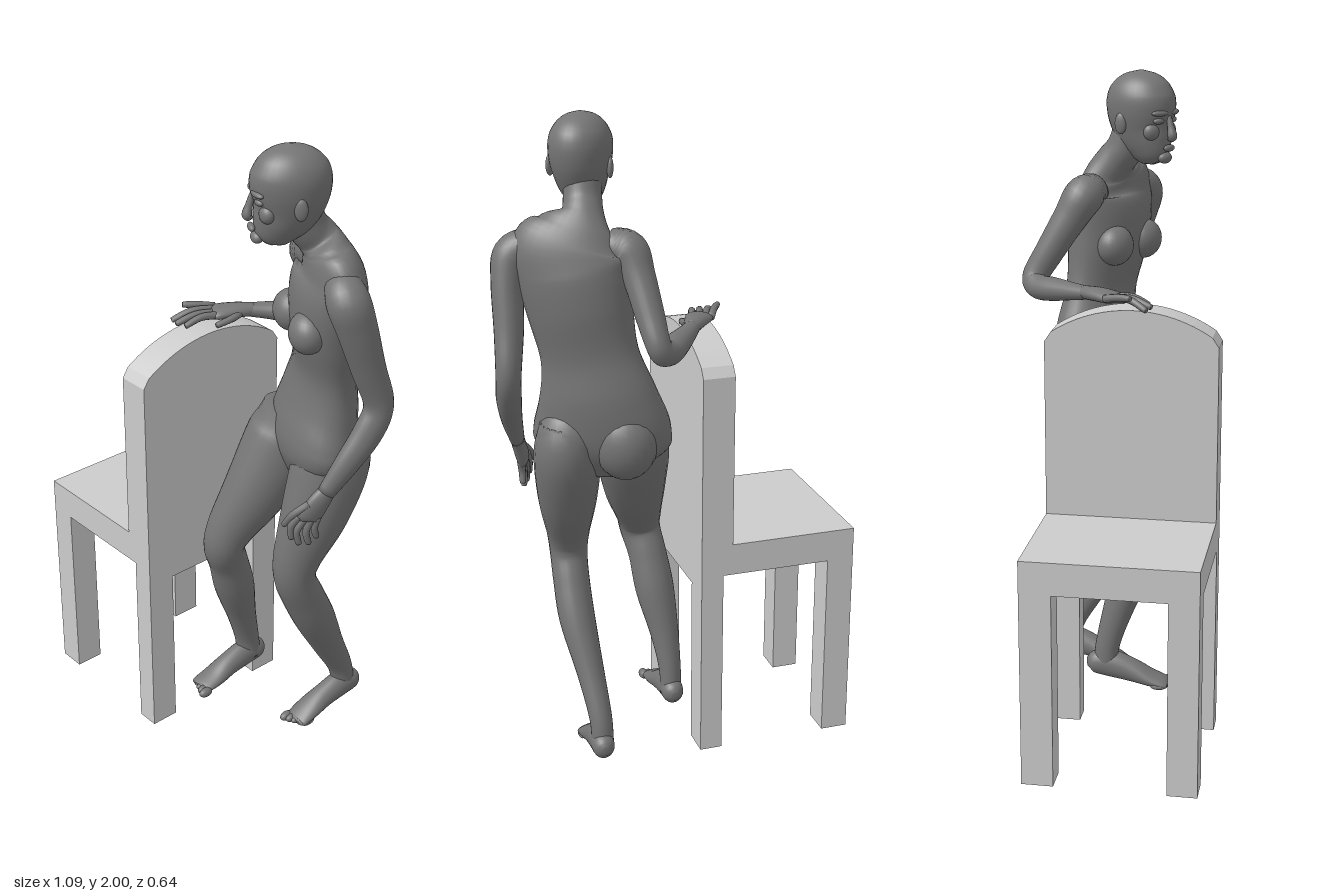
import * as THREE from 'three';

const YAW = -0.45; // the figure is turned towards its right
const SIDE = new THREE.Vector3(Math.cos(YAW), 0, -Math.sin(YAW));
const FWD = new THREE.Vector3(Math.sin(YAW), 0, Math.cos(YAW));
const skin = new THREE.MeshStandardMaterial({ color: 0x757575 });
const grey = new THREE.MeshStandardMaterial({ color: 0xcccccc });

function add(parent, name, geometry, material = skin) {
  const mesh = new THREE.Mesh(geometry, material);
  mesh.name = name;
  parent.add(mesh);
  return mesh;
}

// Smooth closed skin through sections [x, y, z, halfWidth, halfDepth]
function loft(sections, side = SIDE, sides = 24, steps = 6) {
  const path = new THREE.CatmullRomCurve3(sections.map(s => new THREE.Vector3(s[0], s[1], s[2])), false, 'catmullrom');
  const size = new THREE.CatmullRomCurve3(sections.map(s => new THREE.Vector3(s[3], s[4] ?? s[3], 0)), false, 'catmullrom');
  const n = (sections.length - 1) * steps;
  const pos = [], index = [];
  for (let i = -1; i <= n + 1; i++) {
    const t = Math.min(Math.max(i / n, 0), 1);
    const p = path.getPoint(t), r = size.getPoint(t), tan = path.getTangent(t);
    const s = side.clone().addScaledVector(tan, -side.dot(tan)).normalize();
    const f = new THREE.Vector3().crossVectors(tan, s);
    const k = i < 0 || i > n ? 0 : 1; // closed ends
    for (let j = 0; j < sides; j++) {
      const a = (j / sides) * Math.PI * 2;
      const v = p.clone()
        .addScaledVector(s, Math.cos(a) * Math.max(r.x, 0.001) * k)
        .addScaledVector(f, Math.sin(a) * Math.max(r.y, 0.001) * k);
      pos.push(v.x, v.y, v.z);
    }
  }
  for (let i = 0; i < n + 2; i++) for (let j = 0; j < sides; j++) {
    const a = i * sides + j, b = i * sides + (j + 1) % sides;
    index.push(a, b, a + sides, b, b + sides, a + sides);
  }
  const g = new THREE.BufferGeometry();
  g.setAttribute('position', new THREE.Float32BufferAttribute(pos, 3));
  g.setIndex(index);
  g.computeVertexNormals();
  return g;
}

function blob(parent, name, p, r, yaw = YAW) {
  const m = add(parent, name, new THREE.SphereGeometry(1, 24, 16));
  m.position.set(...p);
  m.scale.set(...r);
  m.rotation.y = yaw;
  return m;
}

// Palm and five fingers, each from its knuckle through a joint to the tip
function hand(parent, name, palm, side, fingers) {
  const g = new THREE.Group();
  g.name = name;
  add(g, 'palm', loft(palm, side, 16));
  for (const [k, m, t] of fingers)
    add(g, 'finger', loft([[...k, 0.012], [...m, 0.011], [...t, 0.009], [...t.map((v, i) => v + (v - m[i]) * 0.1), 0.003]], side, 10, 4));
  parent.add(g);
}

function foot(parent, name, sections, toes) {
  add(parent, name, loft(sections, new THREE.Vector3(1, 0, 0)));
  const end = sections[sections.length - 2];
  for (let i = 0; i < 5; i++) {
    const u = i / 4, r = 0.015 - 0.006 * u;
    blob(parent, 'toe', [end[0] + toes * (u - 0.5) * 0.07, end[1] - 0.004, end[2] + 0.016 - 0.032 * u], [r, r, 0.024], 0);
  }
}

function makeChair() {
  const chair = new THREE.Group();
  chair.name = 'chair';
  const box = (name, x0, x1, y0, y1, z0, z1) =>
    add(chair, name, new THREE.BoxGeometry(x1 - x0, y1 - y0, z1 - z0), grey)
      .position.set((x0 + x1) / 2, (y0 + y1) / 2, (z0 + z1) / 2);
  box('seat', -0.545, -0.045, 0.6, 0.7, -0.2, 0.32);
  box('backRail', -0.115, -0.045, 0.545, 0.6, -0.105, 0.23);
  for (const [z0, z1] of [[0.23, 0.32], [-0.2, -0.105]]) {
    box('frontLeg', -0.545, -0.46, 0, 0.6, z0, z1);
    box('backLeg', -0.115, -0.045, 0, 0.6, z0, z1);
  }
  // Backrest with an arched top, drawn in (-z, y) and extruded along x
  const s = new THREE.Shape();
  s.moveTo(-0.32, 0.7);
  s.lineTo(0.2, 0.7);
  s.lineTo(0.2, 1.24);
  s.lineTo(0.18, 1.27);
  s.quadraticCurveTo(0.07, 1.342, -0.06, 1.343);
  s.quadraticCurveTo(-0.19, 1.342, -0.3, 1.27);
  s.lineTo(-0.32, 1.24);
  const back = add(chair, 'backrest', new THREE.ExtrudeGeometry(s, { depth: 0.1, bevelEnabled: false, curveSegments: 12 }), grey);
  back.rotation.y = Math.PI / 2;
  back.position.x = -0.145;
  return chair;
}

function makeHead() {
  const head = new THREE.Group();
  head.name = 'head';
  head.position.set(0.25, 0, 0.03);
  head.rotation.y = -0.52;
  const X = new THREE.Vector3(1, 0, 0);
  add(head, 'skull', loft([
    [0, 1.725, 0.062, 0.02, 0.02], [0, 1.74, 0.055, 0.042, 0.048], [0, 1.775, 0.036, 0.062, 0.074],
    [0, 1.82, 0.012, 0.078, 0.098], [0, 1.87, 0, 0.09, 0.112], [0, 1.92, -0.003, 0.091, 0.112],
    [0, 1.96, -0.003, 0.075, 0.092], [0, 1.987, -0.003, 0.046, 0.056], [0, 2, -0.003, 0.006, 0.006]], X, 32));
  add(head, 'nose', loft([[0, 1.868, 0.103, 0.008], [0, 1.835, 0.112, 0.011], [0, 1.808, 0.118, 0.016, 0.014], [0, 1.796, 0.108, 0.008]], X, 12));
  blob(head, 'lips', [0, 1.772, 0.106], [0.024, 0.011, 0.01], 0);
  blob(head, 'chin', [0, 1.742, 0.09], [0.026, 0.018, 0.018], 0);
  for (const s of [-1, 1]) {
    blob(head, 'ear', [s * 0.088, 1.845, -0.012], [0.01, 0.032, 0.019], s * -0.3);
    blob(head, 'brow', [s * 0.034, 1.878, 0.097], [0.03, 0.009, 0.012], s * 0.3);
    blob(head, 'eye', [s * 0.034, 1.855, 0.091], [0.019, 0.01, 0.012], s * 0.3);
    blob(head, 'cheek', [s * 0.044, 1.822, 0.072], [0.026, 0.026, 0.02], s * 0.4);
  }
  return head;
}

function makeFigure() {
  const fig = new THREE.Group();
  fig.name = 'figure';
  fig.add(makeHead());
  add(fig, 'torso', loft([
    [0.225, 0.96, -0.075, 0.1, 0.07], [0.23, 1.03, -0.085, 0.195, 0.105], [0.235, 1.1, -0.095, 0.205, 0.115],
    [0.25, 1.2, -0.105, 0.175, 0.105], [0.27, 1.32, -0.1, 0.145, 0.088], [0.29, 1.45, -0.085, 0.155, 0.105],
    [0.305, 1.56, -0.075, 0.17, 0.105], [0.31, 1.63, -0.075, 0.175, 0.085], [0.29, 1.685, -0.07, 0.12, 0.066],
    [0.272, 1.72, -0.055, 0.066, 0.06], [0.262, 1.76, -0.025, 0.056, 0.058], [0.255, 1.83, 0.005, 0.055, 0.06]], SIDE, 32));
  for (const s of [-1, 1]) {
    const at = (c, side, fwd) => new THREE.Vector3(...c).addScaledVector(SIDE, s * side).addScaledVector(FWD, fwd).toArray();
    blob(fig, 'breast', at([0.292, 1.47, -0.08], 0.078, 0.08), [0.064, 0.062, 0.054]);
    blob(fig, 'buttock', at([0.24, 1.06, -0.09], 0.085, -0.05), [0.095, 0.11, 0.085]);
  }

  // Legs
  add(fig, 'rightLeg', loft([
    [0.15, 1.12, -0.09, 0.09, 0.09], [0.135, 1.02, -0.07, 0.112, 0.118], [0.105, 0.86, 0.01, 0.097, 0.103],
    [0.07, 0.73, 0.085, 0.073, 0.076], [0.058, 0.66, 0.105, 0.064, 0.064], [0.043, 0.58, 0.075, 0.06, 0.062],
    [0.03, 0.47, 0.04, 0.061, 0.064], [0.012, 0.33, -0.005, 0.045, 0.048], [0.004, 0.22, -0.035, 0.035, 0.04],
    [0.004, 0.14, -0.045, 0.034, 0.04]]));
  add(fig, 'leftLeg', loft([
    [0.335, 1.12, -0.08, 0.08, 0.09], [0.335, 1.02, -0.075, 0.1, 0.118], [0.325, 0.86, -0.025, 0.09, 0.105],
    [0.312, 0.72, 0.03, 0.067, 0.076], [0.31, 0.64, 0.038, 0.058, 0.064], [0.312, 0.56, 0.005, 0.056, 0.065],
    [0.31, 0.45, -0.05, 0.055, 0.064], [0.292, 0.3, -0.13, 0.042, 0.05], [0.281, 0.18, -0.195, 0.035, 0.04],
    [0.28, 0.1, -0.215, 0.034, 0.038]]));
  foot(fig, 'rightFoot', [
    [0.006, 0.148, -0.102, 0.012, 0.015], [0.006, 0.15, -0.08, 0.032, 0.036], [0.003, 0.15, -0.03, 0.036, 0.045],
    [0, 0.133, 0.04, 0.038, 0.037], [-0.002, 0.112, 0.1, 0.043, 0.025], [-0.004, 0.1, 0.148, 0.042, 0.015],
    [-0.004, 0.098, 0.16, 0.034, 0.008]], -1);
  foot(fig, 'leftFoot', [
    [0.285, 0.098, -0.272, 0.012, 0.015], [0.285, 0.099, -0.25, 0.032, 0.036], [0.282, 0.098, -0.2, 0.036, 0.045],
    [0.276, 0.078, -0.13, 0.038, 0.037], [0.271, 0.055, -0.07, 0.044, 0.026], [0.268, 0.036, -0.025, 0.042, 0.015],
    [0.268, 0.033, -0.012, 0.034, 0.008]], 1);

  // Arms
  add(fig, 'rightArm', loft([
    [0.215, 1.64, -0.11, 0.05, 0.05], [0.163, 1.625, -0.135, 0.06, 0.062], [0.142, 1.56, -0.175, 0.048, 0.054],
    [0.128, 1.46, -0.235, 0.042, 0.046], [0.115, 1.38, -0.28, 0.036, 0.042], [0.085, 1.355, -0.262, 0.04, 0.038],
    [0.045, 1.357, -0.21, 0.041, 0.036], [-0.015, 1.365, -0.135, 0.03, 0.026], [-0.05, 1.37, -0.085, 0.025, 0.02]]));
  add(fig, 'leftArm', loft([
    [0.41, 1.64, -0.02, 0.05, 0.05], [0.462, 1.605, 0.005, 0.058, 0.062], [0.484, 1.53, -0.01, 0.048, 0.058],
    [0.494, 1.4, -0.05, 0.043, 0.05], [0.507, 1.28, -0.085, 0.037, 0.044], [0.502, 1.2, -0.055, 0.037, 0.045],
    [0.482, 1.11, 0.005, 0.031, 0.038], [0.455, 1.02, 0.06, 0.021, 0.027]]));

  // Hands
  hand(fig, 'rightHand', [[-0.04, 1.37, -0.1, 0.024, 0.02], [-0.068, 1.372, -0.055, 0.034, 0.021], [-0.098, 1.37, -0.005, 0.042, 0.018], [-0.108, 1.367, 0.012, 0.032, 0.01]],
    new THREE.Vector3(0.85, 0, 0.52), [
      [[-0.13, 1.372, -0.02], [-0.155, 1.382, 0.025], [-0.178, 1.385, 0.06]],
      [[-0.118, 1.372, -0.005], [-0.145, 1.375, 0.055], [-0.172, 1.352, 0.105]],
      [[-0.1, 1.37, 0.005], [-0.122, 1.372, 0.062], [-0.14, 1.355, 0.115]],
      [[-0.08, 1.37, 0.01], [-0.097, 1.372, 0.06], [-0.11, 1.355, 0.105]],
      [[-0.05, 1.37, -0.06], [-0.042, 1.365, -0.02], [-0.055, 1.353, 0.03]]]);
  hand(fig, 'leftHand', [[0.458, 1.03, 0.052, 0.025, 0.02], [0.445, 0.99, 0.078, 0.034, 0.02], [0.43, 0.945, 0.1, 0.039, 0.018], [0.427, 0.932, 0.104, 0.03, 0.01]],
    new THREE.Vector3(-0.4, 0.1, 0.9), [
      [[0.415, 0.95, 0.128], [0.402, 0.915, 0.145], [0.403, 0.877, 0.143]],
      [[0.425, 0.942, 0.112], [0.413, 0.9, 0.132], [0.416, 0.858, 0.126]],
      [[0.435, 0.94, 0.095], [0.427, 0.895, 0.108], [0.43, 0.855, 0.1]],
      [[0.443, 0.942, 0.078], [0.438, 0.905, 0.086], [0.439, 0.872, 0.078]],
      [[0.435, 0.99, 0.105], [0.405, 0.955, 0.14], [0.38, 0.915, 0.15]]]);
  return fig;
}

export function createModel() {
  const model = new THREE.Group();
  model.name = 'figureWithChair';
  model.add(makeChair(), makeFigure());
  return model;
}
